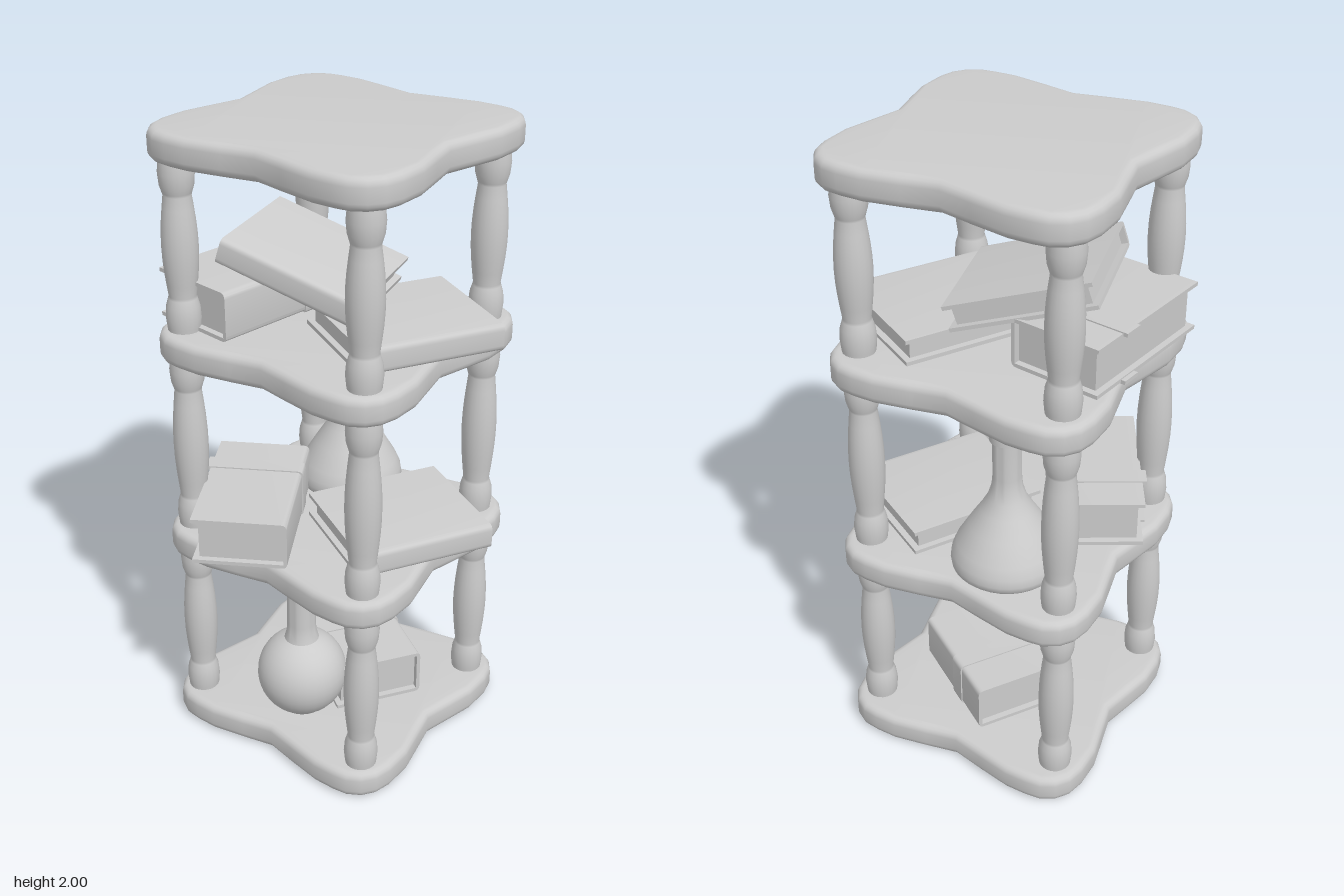
import * as THREE from 'three';
import { toCreasedNormals } from 'three/addons/utils/BufferGeometryUtils.js';

const mat = new THREE.MeshStandardMaterial({ color: 0xcccccc });
const glassMat = new THREE.MeshStandardMaterial({ color: 0xcccccc, side: THREE.DoubleSide });
const CX = 0.047, CZ = -0.03;
const BOTTOMS = [0, 0.638, 1.302, 1.908], THICK = 0.092;

function add(parent, geometry, name, x = 0, y = 0, z = 0, material = mat) {
  const mesh = new THREE.Mesh(geometry, material);
  mesh.name = name;
  mesh.position.set(x, y, z);
  parent.add(mesh);
  return mesh;
}

const lathe = (points, segments) =>
  new THREE.LatheGeometry(points.map(([r, y]) => new THREE.Vector2(r, y)), segments);

// Four-lobed board with rounded rim
function shelfGeometry() {
  const q = [[0, 0.37], [0.1, 0.394], [0.19, 0.415], [0.28, 0.415], [0.335, 0.402], [0.375, 0.373],
    [0.4, 0.33], [0.406, 0.28], [0.406, 0.21], [0.385, 0.1], [0.363, 0]];
  const rev = q.slice().reverse();
  const outline = [
    ...q.slice(0, -1),
    ...rev.slice(0, -1).map(([x, y]) => [x, -y]),
    ...q.slice(0, -1).map(([x, y]) => [-x, -y]),
    ...rev.slice(0, -1).map(([x, y]) => [-x, y]),
  ].map(([x, y]) => new THREE.Vector2(x, y));
  const b = 0.025;
  const g = new THREE.ExtrudeGeometry(new THREE.Shape(outline), {
    depth: THICK - 2 * b, bevelEnabled: true, bevelThickness: b,
    bevelSize: b, bevelOffset: -b, bevelSegments: 4,
  });
  g.translate(0, 0, b).rotateX(-Math.PI / 2);
  return toCreasedNormals(g, 0.7);
}

// Turned post with a collar at each end and a long swelling between
function postGeometry(h) {
  const collar = [[0.048, -0.01], [0.05, 0.01], [0.053, 0.04], [0.05, 0.075], [0.043, 0.098]];
  const n = 8, a = 0.106, belly = [];
  for (let i = 0; i <= n; i++) {
    const t = i / n;
    belly.push([0.041 + 0.013 * Math.sin(Math.PI * t), a + (h - 2 * a) * t]);
  }
  const top = collar.map(([r, y]) => [r, h - y]).reverse();
  return lathe([...collar, ...belly, ...top], 20);
}

// C-shaped wrap, rounded at the +z side and open at the -z side
function wrapGeometry(len, depth, h, t) {
  const d = depth / 2, r = 0.018;
  const s = new THREE.Shape();
  s.moveTo(d, 0);
  s.lineTo(-d + r, 0);
  s.quadraticCurveTo(-d, 0, -d, r);
  s.lineTo(-d, h - r);
  s.quadraticCurveTo(-d, h, -d + r, h);
  s.lineTo(d, h);
  s.lineTo(d, h - t);
  s.lineTo(-d + t, h - t);
  s.lineTo(-d + t, t);
  s.lineTo(d, t);
  const g = new THREE.ExtrudeGeometry(s, { depth: len, bevelEnabled: false, curveSegments: 4 });
  g.translate(0, 0, -len / 2).rotateY(Math.PI / 2);
  return toCreasedNormals(g, 0.5);
}

// Book lying flat: spine towards local +z, length along local x
function book(name, len, depth, h, strapX) {
  const g = new THREE.Group(), t = 0.012, inset = 0.02;
  g.name = name;
  add(g, wrapGeometry(len, depth, h, t), 'cover');
  add(g, new THREE.BoxGeometry(len - 2 * inset, h - 2 * t + 0.002, depth - t - inset + 0.002),
    'pages', 0, h / 2, (inset - t) / 2);
  if (strapX !== undefined)
    add(g, wrapGeometry(0.062, depth + 0.018, h + 0.008, 0.012), 'strap', strapX, -0.004, -0.005);
  return g;
}

function place(parent, obj, x, y, z, yaw) {
  obj.position.set(x, y, z);
  obj.rotation.y = yaw;
  parent.add(obj);
}

export function createModel() {
  const model = new THREE.Group();
  model.name = 'bookshelf';

  // Shelves
  const shelf = shelfGeometry();
  for (const y of BOTTOMS) add(model, shelf, 'shelf', CX, y, CZ);

  // Posts between neighbouring shelves
  for (let i = 0; i < 3; i++) {
    const y = BOTTOMS[i] + THICK;
    const post = postGeometry(BOTTOMS[i + 1] - y);
    for (const sx of [-1, 1])
      for (const sz of [-1, 1])
        add(model, post, 'post', 0.038 + sx * 0.307, y, CZ + sz * 0.326);
  }
  const [y1, y2, y3] = BOTTOMS.map((b) => b + THICK);

  // Round flask on the lowest shelf
  const round = [[0, 0], [0.075, 0]];
  for (let i = 0; i <= 12; i++) {
    const a = -0.95 + (i / 12) * 2.13;
    round.push([0.145 * Math.cos(a), 0.128 + 0.145 * Math.sin(a)]);
  }
  round.push([0.048, 0.29], [0.046, 0.32], [0.046, 0.458], [0.055, 0.461], [0.055, 0.49],
    [0.05, 0.493], [0.036, 0.493], [0.036, 0.3]);
  add(model, toCreasedNormals(lathe(round, 32), 0.7), 'roundFlask', -0.148, y1, -0.03, glassMat);

  // Conical flask on the middle shelf
  const cone = [[0, 0], [0.155, 0], [0.167, 0.012], [0.17, 0.03], [0.166, 0.055], [0.152, 0.088],
    [0.115, 0.15], [0.08, 0.205], [0.058, 0.245], [0.046, 0.285], [0.043, 0.32], [0.043, 0.442],
    [0.052, 0.445], [0.052, 0.472], [0.048, 0.475], [0.034, 0.475], [0.034, 0.3]];
  add(model, toCreasedNormals(lathe(cone, 32), 0.7), 'conicalFlask', 0.243, y2, -0.127, glassMat);

  // Thick strapped books
  place(model, book('strappedBook', 0.396, 0.29, 0.155, 0.04), 0.115, y1, 0.005, 0.986);
  place(model, book('strappedBook', 0.49, 0.29, 0.152, 0.1), -0.17, y2, -0.2, 0.524);
  place(model, book('strappedBook', 0.49, 0.29, 0.152, 0.1), -0.015, y3, -0.297, -0.14);

  // Thin books jutting out at the front
  for (const y of [y2, y3]) place(model, book('thinBook', 0.44, 0.4, 0.08), 0.065, y, 0.192, -0.524);

  // Thin book leaning on the others
  const leaning = new THREE.Group();
  leaning.name = 'leaningBook';
  leaning.rotation.set(0.31, 0.25, 0, 'YXZ');
  leaning.position.set(0.012, 1.58, -0.093);
  place(leaning, book('thinBook', 0.44, 0.4, 0.08), 0, -0.04, 0, -Math.PI / 2);
  model.add(leaning);

  return model;
}
